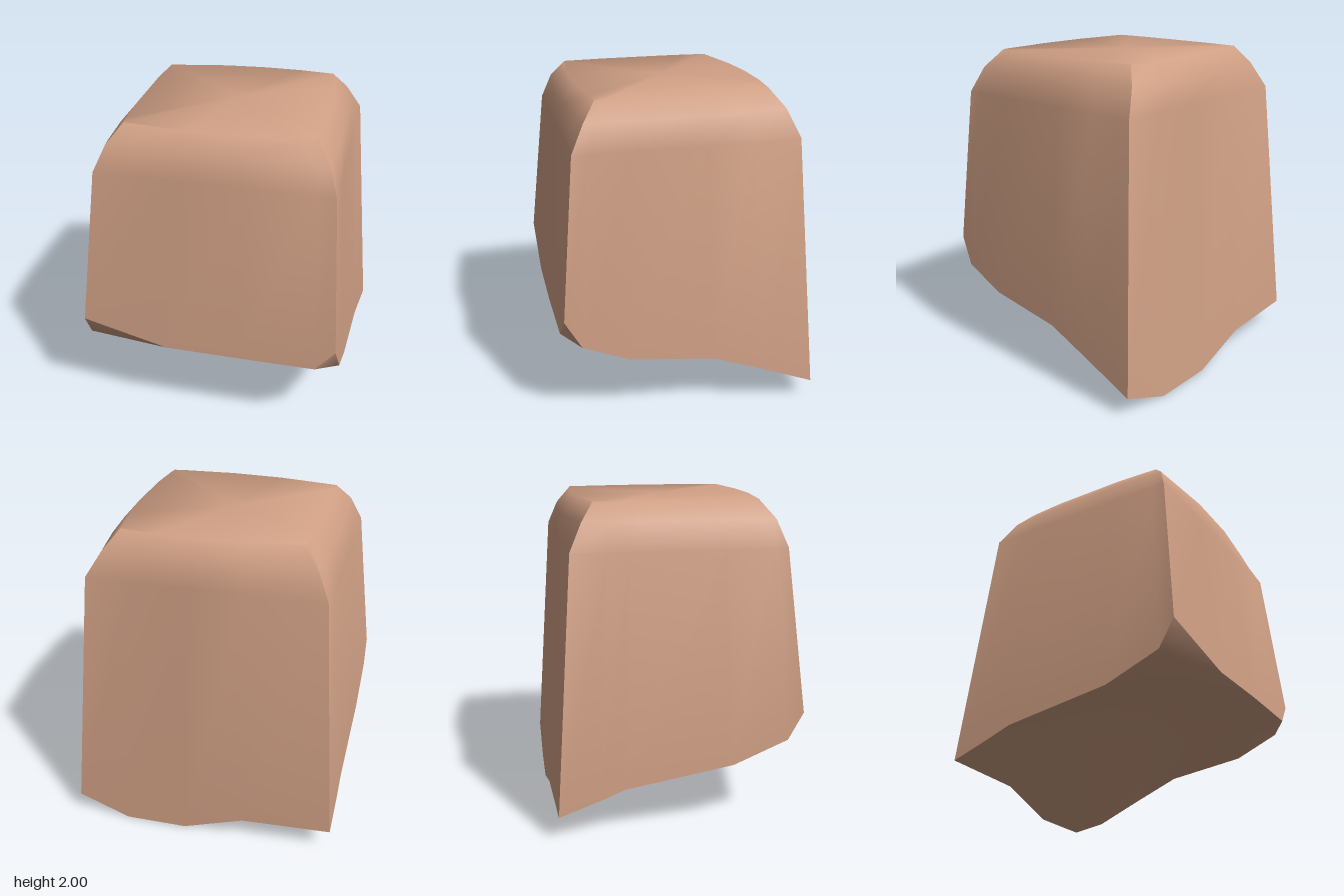
import * as THREE from 'three';
import { toCreasedNormals } from 'three/addons/utils/BufferGeometryUtils.js';

const V = (x, y, z) => new THREE.Vector3(x, y, z);

// Rough underside: rows run front to back, points run from -x to +x
const underside = [
  [[-0.81, 0.73, 0.785], [-0.27, 0.6, 0.795], [0.2, 0.6, 0.795], [0.67, 0.595, 0.785], [0.79, 0.73, 0.77]],
  [[-0.815, 0.56, 0.69], [-0.3, 0.56, 0.6], [0.2, 0.57, 0.6], [0.6, 0.54, 0.62], [0.81, 0.56, 0.67]],
  [[-0.825, 0.42, 0.35], [-0.35, 0.52, 0.3], [0, 0.555, 0.33], [0.3, 0.49, 0.3], [0.815, 0.44, 0.38]],
  [[-0.84, 0.31, -0.32], [-0.4, 0.48, 0.08], [0, 0.38, -0.05], [0.3, 0.3, -0.12], [0.83, 0.38, -0.15]],
  [[-0.845, 0.25, -0.47], [-0.28, 0.23, -0.5], [0.11, 0.15, -0.42], [0.4, 0.12, -0.42], [0.838, 0.26, -0.47]],
  [[-0.85, 0.16, -0.72], [-0.28, 0.145, -0.76], [0.11, 0.01, -0.78], [0.51, 0, -0.79], [0.845, 0.13, -0.8]],
].map(row => row.map(p => V(...p)));

// Corners of the shoulder and of the upper rim: front -x, front +x, back +x, back -x
const shoulder = [V(-0.705, 1.73, 0.68), V(0.725, 1.73, 0.68), V(0.71, 1.73, -0.685), V(-0.73, 1.73, -0.61)];
const rim = [V(-0.635, 1.89, 0.62), V(0.67, 1.89, 0.6), V(0.615, 1.89, -0.62), V(-0.65, 1.89, -0.535)];
const outward = [V(0, 0, 1), V(1, 0, 0), V(0, 0, -1), V(-1, 0, 0)];
const rimBulge = [0.055, 0.05, 0.06, 0.025];

function geometryFrom(triangles) {
  const geometry = new THREE.BufferGeometry().setFromPoints(triangles);
  return toCreasedNormals(geometry, THREE.MathUtils.degToRad(52));
}

// Walls and rounded top: four loops stacked and closed with a fan
function bodyGeometry() {
  const last = underside.length - 1;
  const sides = [
    underside[0],
    underside.map(r => r[4]),
    [...underside[last]].reverse(),
    underside.map(r => r[0]).reverse(),
  ];
  const loops = [[], [], [], []];
  sides.forEach((side, s) => {
    const start = side[0], end = side[side.length - 1];
    const axis = s % 2 ? 'z' : 'x';
    side.slice(0, -1).forEach(p => {
      const t = (p[axis] - start[axis]) / (end[axis] - start[axis]);
      const next = (s + 1) % 4;
      const top = rim[s].clone().lerp(rim[next], t).addScaledVector(outward[s], rimBulge[s] * 4 * t * (1 - t));
      loops[0].push(p);
      loops[1].push(shoulder[s].clone().lerp(shoulder[next], t));
      loops[2].push(top);
      loops[3].push(V(top.x * 0.86, 2, top.z * 0.86));
    });
  });
  const triangles = [];
  const n = loops[0].length;
  for (let i = 0; i < n; i++) {
    const j = (i + 1) % n;
    for (let k = 0; k < 3; k++) {
      const [a, b, c, d] = [loops[k][i], loops[k][j], loops[k + 1][j], loops[k + 1][i]];
      triangles.push(a, b, c, a, c, d);
    }
    triangles.push(loops[3][i], loops[3][j], V(0, 2, 0));
  }
  return geometryFrom(triangles);
}

// Underside patch, with diagonals mirrored so both front corners are chamfered
function undersideGeometry() {
  const triangles = [];
  for (let r = 0; r < underside.length - 1; r++) {
    for (let c = 0; c < 4; c++) {
      const a = underside[r][c], b = underside[r][c + 1];
      const d = underside[r + 1][c], e = underside[r + 1][c + 1];
      if (c < 2) triangles.push(a, d, b, b, d, e);
      else triangles.push(a, d, e, a, e, b);
    }
  }
  return geometryFrom(triangles);
}

export function createModel() {
  const clay = new THREE.MeshStandardMaterial({ color: 0xcf9f84 });
  clay.name = 'clay';
  const group = new THREE.Group();
  group.name = 'taperedBlock';
  const add = (name, geometry) => {
    const mesh = new THREE.Mesh(geometry, clay);
    mesh.name = name;
    group.add(mesh);
  };
  add('body', bodyGeometry());
  add('underside', undersideGeometry());
  return group;
}
